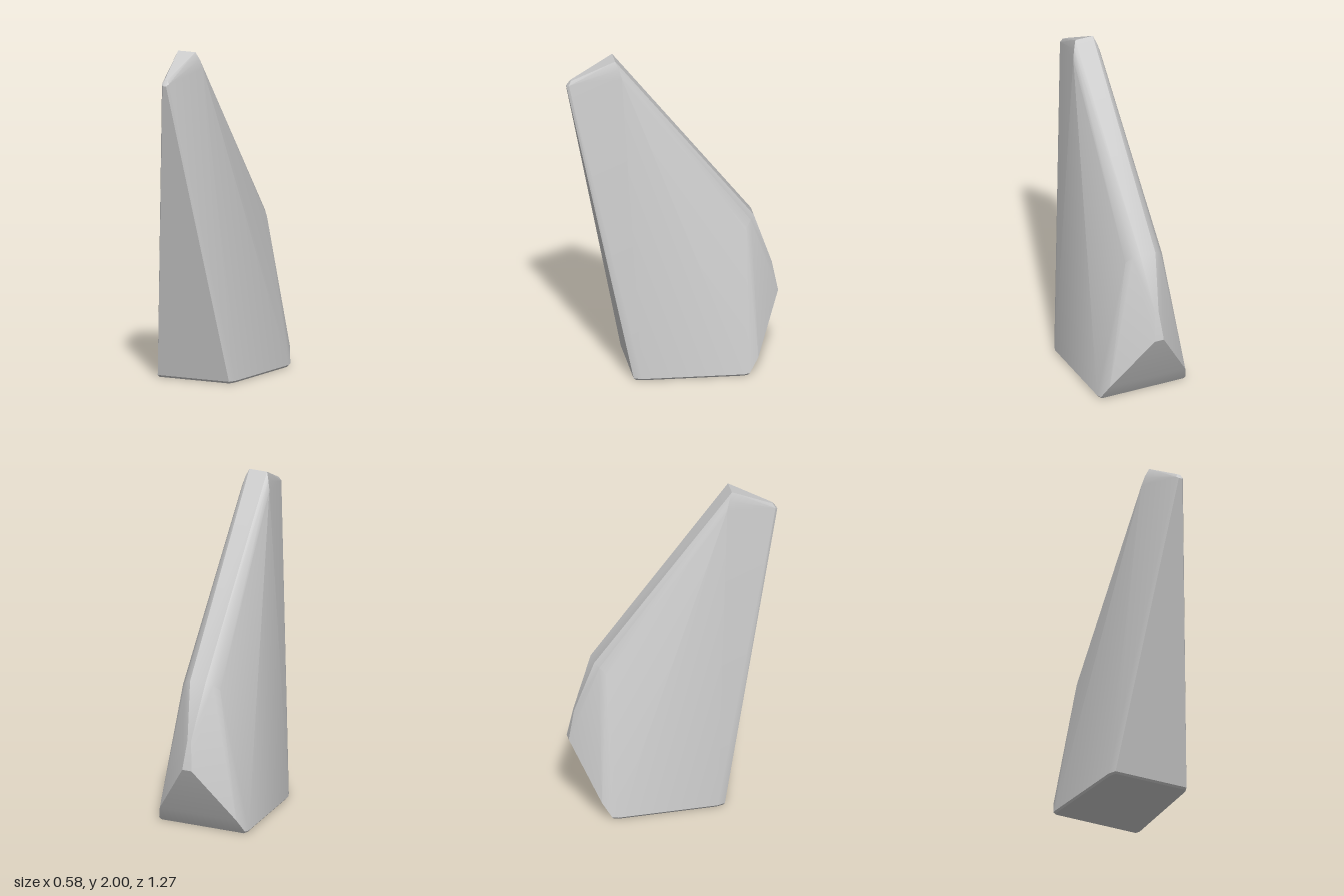
import * as THREE from 'three';
import { ConvexGeometry } from 'three/addons/geometries/ConvexGeometry.js';
import { toCreasedNormals } from 'three/addons/utils/BufferGeometryUtils.js';

// Corners of one half of the stone (x, y, z); the other half is mirrored.
const HALF = [
  // base, with a thin bevel at the ground
  [0.235, 0, 0.258], [0.25, 0, 0.215], [0.28, 0, -0.385], [0.27, 0, -0.415],
  [0.24, 0.012, 0.268], [0.26, 0.012, 0.22], [0.29, 0.012, -0.39], [0.282, 0.015, -0.425],
  // back lower corner and the keel it rises to
  [0.252, 0.1, -0.48], [0.03, 0.43, -0.635], [0.012, 0.61, -0.6],
  // shoulder at the foot of the sloping back
  [0.05, 0.94, -0.485], [0.09, 0.925, -0.462], [0.122, 0.89, -0.43],
  // slanted top
  [0.058, 2, 0.35], [0.076, 1.955, 0.33], [0.09, 1.9, 0.315],
  // front tip
  [0.01, 1.87, 0.61], [0.022, 1.845, 0.622], [0.012, 1.835, 0.635],
];

export function createModel() {
  const group = new THREE.Group();
  group.name = 'standingStone';

  const points = HALF.flatMap(([x, y, z]) => [
    new THREE.Vector3(x, y, z),
    new THREE.Vector3(-x, y, z),
  ]);

  // faceted hull whose narrow bevels shade smoothly
  const geometry = toCreasedNormals(new ConvexGeometry(points), 0.42);
  const stone = new THREE.Mesh(geometry, new THREE.MeshStandardMaterial({ color: 0xcccccc }));
  stone.name = 'stone';
  group.add(stone);
  return group;
}
